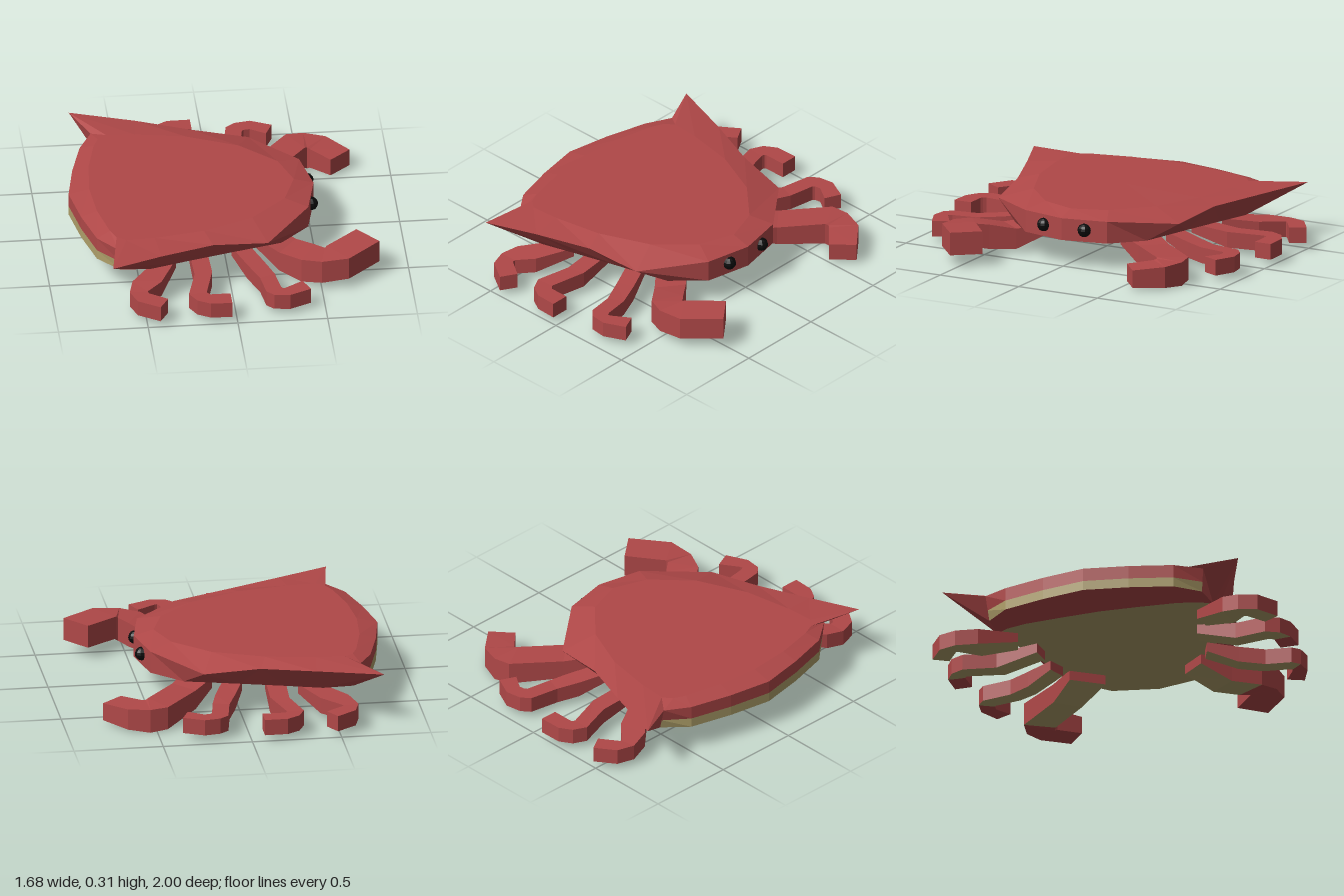
import * as THREE from 'three';

const flat = (name, color) => {
  const m = new THREE.MeshStandardMaterial({ color });
  m.name = name;
  m.flatShading = true;
  return m;
};

// Mesh from flat polygons, each fanned from its first corner
function facets(name, polys, material) {
  const pos = [];
  for (const p of polys)
    for (let i = 1; i < p.length - 1; i++) pos.push(...p[0], ...p[i], ...p[i + 1]);
  const g = new THREE.BufferGeometry();
  g.setAttribute('position', new THREE.Float32BufferAttribute(pos, 3));
  g.computeVertexNormals();
  const mesh = new THREE.Mesh(g, material);
  mesh.name = name;
  return mesh;
}

// Closed ring from the half outline that runs front (+x) to back (-x) on the +z side
function ring(half) {
  const mirrored = half.slice(1, -1).reverse().map(([x, y, z]) => [x, y, -z]);
  return [...half, ...mirrored];
}

function buildShell(red, olive) {
  const top = ring([[0.41, 0.31, 0], [0.34, 0.31, 0.2], [0.14, 0.31, 0.39], [-0.14, 0.312, 0.51],
    [-0.42, 0.312, 0.56], [-0.58, 0.312, 0.57], [-0.63, 0.312, 0.53], [-0.66, 0.312, 0.46],
    [-0.71, 0.312, 0.24], [-0.73, 0.312, 0]]);
  const rim = ring([[0.52, 0.28, 0], [0.465, 0.28, 0.26], [0.21, 0.25, 0.575], [-0.1, 0.285, 0.625],
    [-0.4, 0.295, 0.735], [-0.68, 0.3, 0.85], [-0.63, 0.29, 0.63], [-0.735, 0.285, 0.49],
    [-0.8, 0.285, 0.25], [-0.845, 0.285, 0]]);
  const low = ring([[0.52, 0.155, 0], [0.465, 0.155, 0.26], [0.3, 0.155, 0.42], [0, 0.155, 0.5],
    [-0.25, 0.155, 0.57], [-0.45, 0.155, 0.63], [-0.62, 0.155, 0.62], [-0.735, 0.155, 0.49],
    [-0.8, 0.155, 0.25], [-0.845, 0.155, 0]]);
  // The spike on the -z side sweeps further back
  rim[13][0] = -0.76;
  rim[12][0] = -0.66;
  const patch = low.map(([x, y, z]) => (x < -0.45 ? [-0.45 + (x + 0.45) * 0.25, y, z * 0.9] : [x, y, z]));
  const reds = [], olives = [];
  const n = rim.length;
  for (let i = 0; i < n; i++) {
    const k = (i + 1) % n;
    const wall = (a, b) => [a[i], b[i], b[k], a[k]];
    reds.push([[-0.2, 0.312, 0], top[k], top[i]]);
    reds.push([rim[i], top[i], top[k]], [rim[i], top[k], rim[k]]);
    // Back wall carries a pale lower band
    if (i >= 6 && i < 12) {
      const mid = low.map((p, j) => p.map((v, c) => v + (rim[j][c] - v) * 0.42));
      olives.push(wall(low, mid));
      reds.push(wall(mid, rim));
    } else reds.push(wall(low, rim));
    reds.push([patch[i], low[i], low[k]], [patch[i], low[k], patch[k]]);
    olives.push([[-0.1, 0.155, 0], patch[i], patch[k]]);
  }
  const g = new THREE.Group();
  g.name = 'shell';
  g.add(facets('shellTop', reds, red), facets('shellBelly', olives, olive));
  return g;
}

// Limb from sections [outerX, outerZ, innerX, innerZ]; heights gives [bottom, top] per section
function buildLimb(name, sections, heights, paleCount, red, olive) {
  const flip = sections[0][1] < 0;
  const rings = sections.map(([ox, oz, ix, iz], j) => {
    const [b, t] = heights[Math.min(j, heights.length - 1)];
    return [[ox, b, oz], [ox, t, oz], [ix, t, iz], [ix, b, iz]];
  });
  const reds = [], olives = [];
  const add = (list, p) => list.push(flip ? [...p].reverse() : p);
  for (let j = 0; j < rings.length - 1; j++)
    for (let e = 0; e < 4; e++) {
      const f = (e + 1) % 4, a = rings[j], b = rings[j + 1];
      add(e === 3 && j < paleCount ? olives : reds, [a[e], b[e], b[f], a[f]]);
    }
  add(reds, rings[0]);
  add(reds, [...rings[rings.length - 1]].reverse());
  const g = new THREE.Group();
  g.name = name;
  g.add(facets(name + 'Upper', reds, red), facets(name + 'Underside', olives, olive));
  return g;
}

export function createModel() {
  const red = flat('shell red', 0xb04848);
  const olive = flat('belly olive', 0xb0a06a);
  const black = flat('eye black', 0x0a0a0a);
  const crab = new THREE.Group();
  crab.name = 'crab';
  crab.add(buildShell(red, olive));

  // Claws
  const claw = (name, s, h) => crab.add(buildLimb(name, s, h, 2, red, olive));
  claw('clawNear', [[0.16, 0.36, 0.27, 0.23], [0.28, 0.5, 0.385, 0.36], [0.39, 0.64, 0.48, 0.48],
    [0.5, 0.69, 0.53, 0.54], [0.65, 0.685, 0.54, 0.535], [0.835, 0.53, 0.72, 0.39]],
  [[0.1, 0.16], [0.025, 0.14], [0.03, 0.17], [0.045, 0.18], [0.06, 0.19], [0.07, 0.2]]);
  claw('clawFar', [[0.14, -0.4, 0.26, -0.23], [0.25, -0.53, 0.36, -0.4], [0.44, -0.765, 0.53, -0.61],
    [0.54, -0.78, 0.545, -0.62], [0.66, -0.74, 0.56, -0.61], [0.78, -0.6, 0.665, -0.5]],
  [[0.1, 0.16], [0.03, 0.14], [0.01, 0.14], [0, 0.135], [0.01, 0.13], [0.02, 0.12]]);

  // Walking legs, front to back on each side
  const legHeights = [[0.1, 0.154], [0.045, 0.135], [0.035, 0.125]];
  const leg = (name, s) => crab.add(buildLimb(name, s, legHeights, 4, red, olive));
  leg('legNearFront', [[0.02, 0.44, 0.11, 0.4], [0.09, 0.6, 0.185, 0.57], [0.15, 0.74, 0.235, 0.7],
    [0.17, 0.885, 0.255, 0.84], [0.21, 0.925, 0.265, 0.86], [0.3, 0.935, 0.28, 0.855], [0.42, 0.88, 0.38, 0.79]]);
  leg('legNearMiddle', [[-0.22, 0.46, -0.12, 0.44], [-0.21, 0.68, -0.11, 0.66], [-0.26, 0.87, -0.16, 0.86],
    [-0.22, 0.945, -0.15, 0.875], [-0.15, 0.985, -0.14, 0.885], [-0.03, 0.99, -0.03, 0.885]]);
  leg('legNearBack', [[-0.4, 0.52, -0.3, 0.54], [-0.56, 0.72, -0.4, 0.74], [-0.585, 0.82, -0.485, 0.82],
    [-0.55, 0.92, -0.48, 0.84], [-0.43, 0.998, -0.38, 0.91]]);
  leg('legFarFront', [[-0.02, -0.46, 0.08, -0.42], [0.04, -0.61, 0.15, -0.6], [0.09, -0.73, 0.18, -0.7],
    [0.12, -0.9, 0.205, -0.85], [0.17, -0.94, 0.215, -0.86], [0.26, -0.955, 0.25, -0.865], [0.375, -0.9, 0.335, -0.81]]);
  leg('legFarMiddle', [[-0.26, -0.46, -0.15, -0.45], [-0.25, -0.7, -0.145, -0.68], [-0.305, -0.88, -0.21, -0.88],
    [-0.27, -0.955, -0.205, -0.895], [-0.2, -0.998, -0.195, -0.9], [-0.07, -1, -0.07, -0.9]]);
  leg('legFarBack', [[-0.42, -0.52, -0.32, -0.55], [-0.58, -0.7, -0.42, -0.73], [-0.62, -0.82, -0.535, -0.835],
    [-0.59, -0.92, -0.53, -0.845], [-0.48, -0.998, -0.43, -0.915]]);

  // Eyes
  for (const [side, z] of [['Near', 0.125], ['Far', -0.132]]) {
    const eye = new THREE.Mesh(new THREE.SphereGeometry(0.038, 10, 8), black);
    eye.name = 'eye' + side;
    eye.position.set(0.495, 0.222, z);
    crab.add(eye);
  }
  return crab;
}
